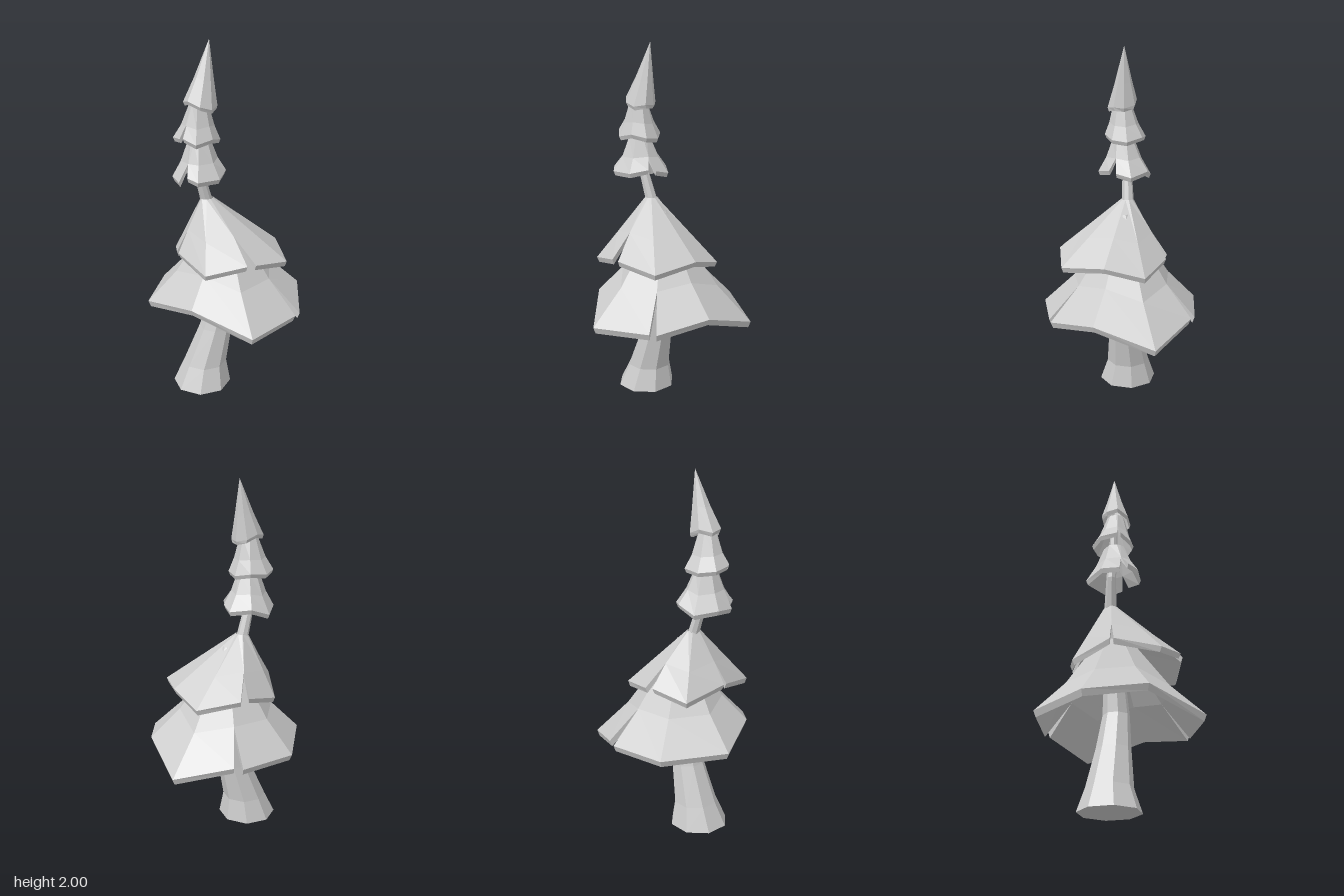
import * as THREE from 'three';

const mat = new THREE.MeshStandardMaterial({ color: 0xcccccc, flatShading: true, side: THREE.DoubleSide });

function addMesh(group, geometry, name) {
  const geo = geometry.index ? geometry.toNonIndexed() : geometry;
  geo.computeVertexNormals();
  const mesh = new THREE.Mesh(geo, mat);
  mesh.name = name;
  group.add(mesh);
}

// Bent trunk: an eight-sided cylinder whose rings follow [y, centreX, centreZ, radius]
function trunkGeometry() {
  const rings = [
    [0, -0.05, 0.195, 0.165], [0.13, -0.047, 0.172, 0.123], [0.35, -0.02, 0.11, 0.093],
    [0.55, 0, 0.062, 0.073], [0.9, -0.02, 0.09, 0.05], [1.13, -0.043, 0.15, 0.034],
    [1.3, -0.045, 0.2, 0.027], [1.6, -0.03, 0.21, 0.02],
  ];
  const n = rings.length - 1;
  const geo = new THREE.CylinderGeometry(1, 1, 1, 8, n);
  const p = geo.attributes.position;
  for (let i = 0; i < p.count; i++) {
    const [y, cx, cz, r] = rings[Math.round((p.getY(i) + 0.5) * n)];
    p.setXYZ(i, cx + p.getX(i) * r, y, cz + p.getZ(i) * r);
  }
  return geo;
}

// Thick skirt of branches. Plates are runs of rim points [x, y, z], ordered from the
// front towards +x; neighbouring plates are split by a slit that closes at the mid ring.
function skirtGeometry({ top, topRadius, t, sag, thick, plates }) {
  const centre = new THREE.Vector3(...top);
  const down = new THREE.Vector3(0, -thick, 0);
  const columns = [];
  for (const plate of plates) {
    plate.forEach((point, k) => {
      const rim = new THREE.Vector3(...point);
      const out = rim.clone().sub(centre).setY(0).normalize();
      const upper = centre.clone().addScaledVector(out, topRadius);
      const mid = upper.clone().lerp(rim, t);
      mid.y -= sag;
      const slit = plates.length > 1 && k === plate.length - 1;
      columns.push({ upper, mid, rim, out, slit });
    });
  }
  const count = columns.length;
  columns.forEach((c, i) => {
    const d = columns[(i + 1) % count];
    if (!c.slit) return;
    c.mid.lerp(d.mid, 0.5);
    d.mid.copy(c.mid);
  });
  // Section of each column: over the outside, round the rim, back up inside
  const sections = columns.map(({ upper, mid, rim, out }) => [
    upper, mid, rim,
    rim.clone().add(down).addScaledVector(out, -thick * 0.4),
    mid.clone().add(down), upper.clone().add(down),
  ]);
  const pos = [];
  const quad = (a, b, c, d) => [a, b, c, a, c, d].forEach((v) => pos.push(v.x, v.y, v.z));
  sections.forEach((a, i) => {
    const b = sections[(i + 1) % count];
    for (let j = 0; j < 5; j++) {
      const open = columns[i].slit && j > 0 && j < 4;
      if (!open) quad(a[j], a[j + 1], b[j + 1], b[j]);
    }
    if (columns[i].slit) {
      quad(a[1], a[4], a[3], a[2]);
      quad(b[1], b[2], b[3], b[4]);
    }
  });
  const geo = new THREE.BufferGeometry();
  geo.setAttribute('position', new THREE.Float32BufferAttribute(pos, 3));
  return geo;
}

const skirts = {
  lowerBranches: {
    top: [-0.01, 1.08, 0.06], topRadius: 0.02, t: 0.6, sag: 0.045, thick: 0.035,
    plates: [
      [[-0.375, 0.53, -0.175], [-0.44, 0.53, 0.145], [-0.22, 0.545, 0.44],
        [0.12, 0.605, 0.41], [0.44, 0.505, 0.265], [0.435, 0.52, -0.07]],
      [[0.43, 0.52, -0.11], [0.215, 0.57, -0.32], [-0.105, 0.465, -0.44], [-0.345, 0.54, -0.215]],
    ],
  },
  middleBranches: {
    top: [-0.04, 1.145, 0.15], topRadius: 0.035, t: 0.57, sag: 0, thick: 0.03,
    plates: [
      [[-0.05, 0.87, 0.35], [0.195, 0.825, 0.375], [0.33, 0.87, 0.2]],
      [[0.35, 0.87, 0.155], [0.36, 0.825, -0.07], [0.14, 0.855, -0.205],
        [-0.08, 0.8, -0.24], [-0.23, 0.84, -0.05]],
      [[-0.245, 0.85, 0], [-0.25, 0.8, 0.205], [-0.07, 0.87, 0.345]],
    ],
  },
  topBranchesLow: {
    top: [-0.025, 1.48, 0.21], topRadius: 0.062, t: 0.45, sag: 0.02, thick: 0.025,
    plates: [
      [[0.03, 1.32, 0.345], [0.085, 1.3, 0.32], [0.12, 1.3, 0.2], [0.07, 1.32, 0.11]],
      [[0.035, 1.31, 0.08], [-0.045, 1.29, 0.045], [-0.15, 1.31, 0.11], [-0.185, 1.27, 0.215],
        [-0.115, 1.29, 0.325], [-0.02, 1.285, 0.36]],
    ],
  },
  topBranchesMid: {
    top: [-0.02, 1.68, 0.215], topRadius: 0.05, t: 0.5, sag: 0.02, thick: 0.022,
    plates: [
      [[-0.01, 1.52, 0.335], [0.05, 1.49, 0.3], [0.08, 1.51, 0.21], [0.05, 1.49, 0.13],
        [-0.03, 1.48, 0.1], [-0.12, 1.5, 0.13], [-0.155, 1.49, 0.22], [-0.12, 1.5, 0.31],
        [-0.03, 1.515, 0.34]],
      [[-0.025, 1.515, 0.34]],
    ],
  },
  treeTip: {
    top: [-0.02, 2, 0.14], topRadius: 0.001, t: 0.58, sag: 0.01, thick: 0.02,
    plates: [
      [[-0.02, 1.705, 0.29], [0.04, 1.68, 0.26], [0.065, 1.66, 0.2], [0.04, 1.67, 0.14],
        [-0.015, 1.665, 0.12], [-0.08, 1.68, 0.14], [-0.1, 1.705, 0.2], [-0.08, 1.69, 0.27]],
    ],
  },
};

export function createModel() {
  const group = new THREE.Group();
  group.name = 'tree';
  addMesh(group, trunkGeometry(), 'trunk');
  for (const [name, spec] of Object.entries(skirts)) addMesh(group, skirtGeometry(spec), name);
  return group;
}
